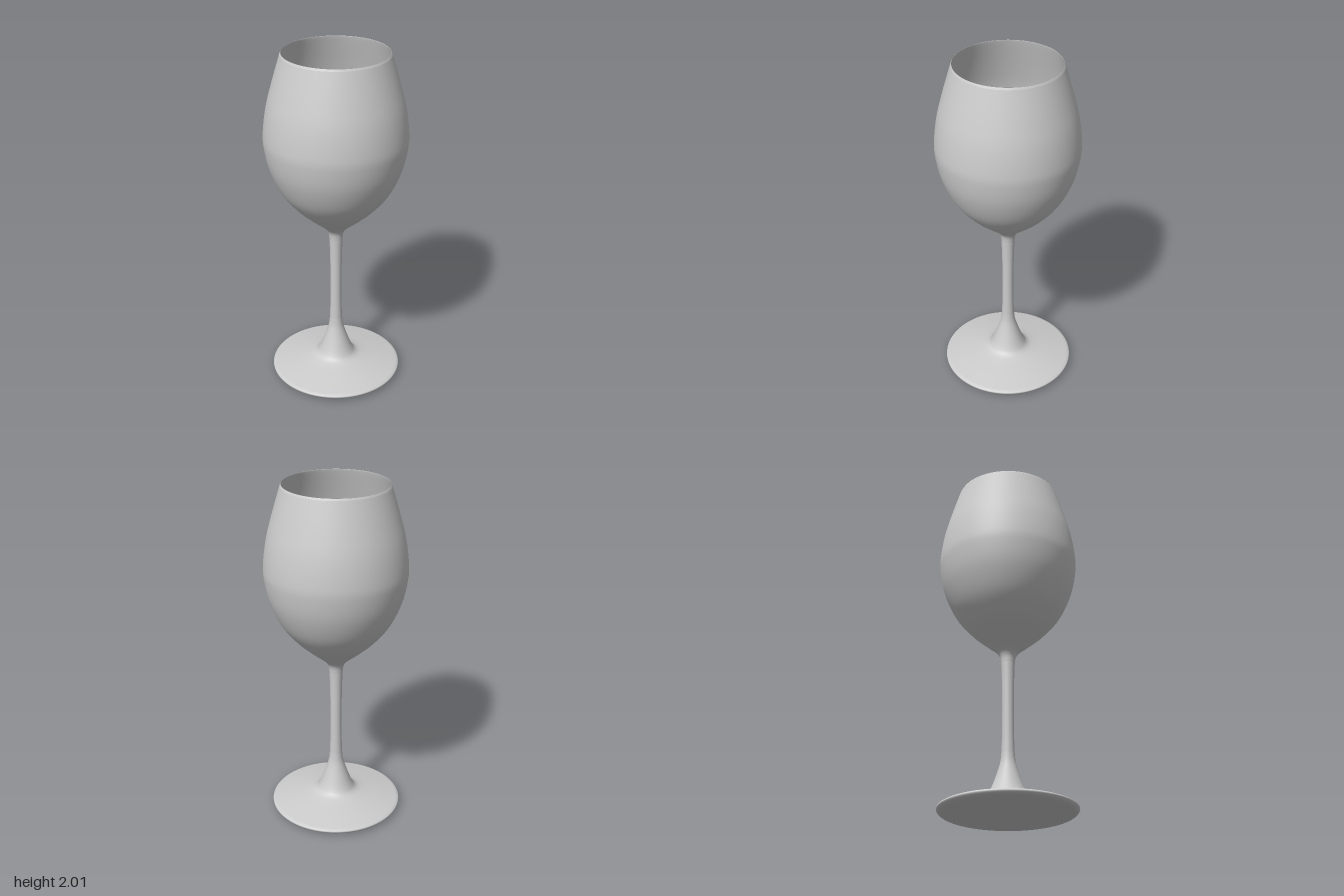
import * as THREE from 'three';

const SIDES = 96;
const material = new THREE.MeshStandardMaterial({ color: 0xcccccc, side: THREE.DoubleSide });

// Revolves a smooth curve through [radius, height] points around the y axis
function turned(name, points, steps) {
  const curve = new THREE.SplineCurve(points.map(([r, y]) => new THREE.Vector2(r, y)));
  const profile = curve.getPoints(steps);
  profile.forEach((p) => { p.x = Math.max(p.x, 0); });
  const mesh = new THREE.Mesh(new THREE.LatheGeometry(profile, SIDES), material);
  mesh.name = name;
  return mesh;
}

export function createModel() {
  const glass = new THREE.Group();
  glass.name = 'wineGlass';

  // Flat underside, turning up into the thin rounded edge of the foot
  glass.add(turned('footUnderside', [
    [0, 0], [0.2, 0.003], [0.34, 0.008], [0.372, 0.014], [0.385, 0.026], [0.384, 0.036], [0.37, 0.043],
  ], 36));

  // Sloping top of the foot, flaring up into the stem
  glass.add(turned('footTop', [
    [0.37, 0.043], [0.27, 0.065], [0.17, 0.086], [0.125, 0.103], [0.1, 0.135],
    [0.07, 0.21], [0.045, 0.29], [0.037, 0.35],
  ], 48));

  // Slender stem
  glass.add(turned('stem', [
    [0.037, 0.35], [0.034, 0.45], [0.033, 0.6], [0.035, 0.78], [0.039, 0.89],
  ], 20));

  // Outside of the bowl, from the neck to the narrowed rim
  glass.add(turned('bowlOutside', [
    [0.039, 0.89], [0.046, 0.932], [0.072, 0.968], [0.15, 1.034], [0.232, 1.11], [0.315, 1.215],
    [0.375, 1.35], [0.402, 1.48], [0.403, 1.57], [0.385, 1.7], [0.352, 1.83], [0.302, 2],
  ], 80));

  // Inside of the bowl, a thin wall ending in a rounded bottom
  glass.add(turned('bowlInside', [
    [0.302, 2], [0.298, 1.998], [0.346, 1.83], [0.378, 1.7], [0.396, 1.57], [0.395, 1.48],
    [0.367, 1.35], [0.305, 1.22], [0.225, 1.122], [0.14, 1.052], [0.06, 1.012], [0, 1.003],
  ], 80));

  return glass;
}
